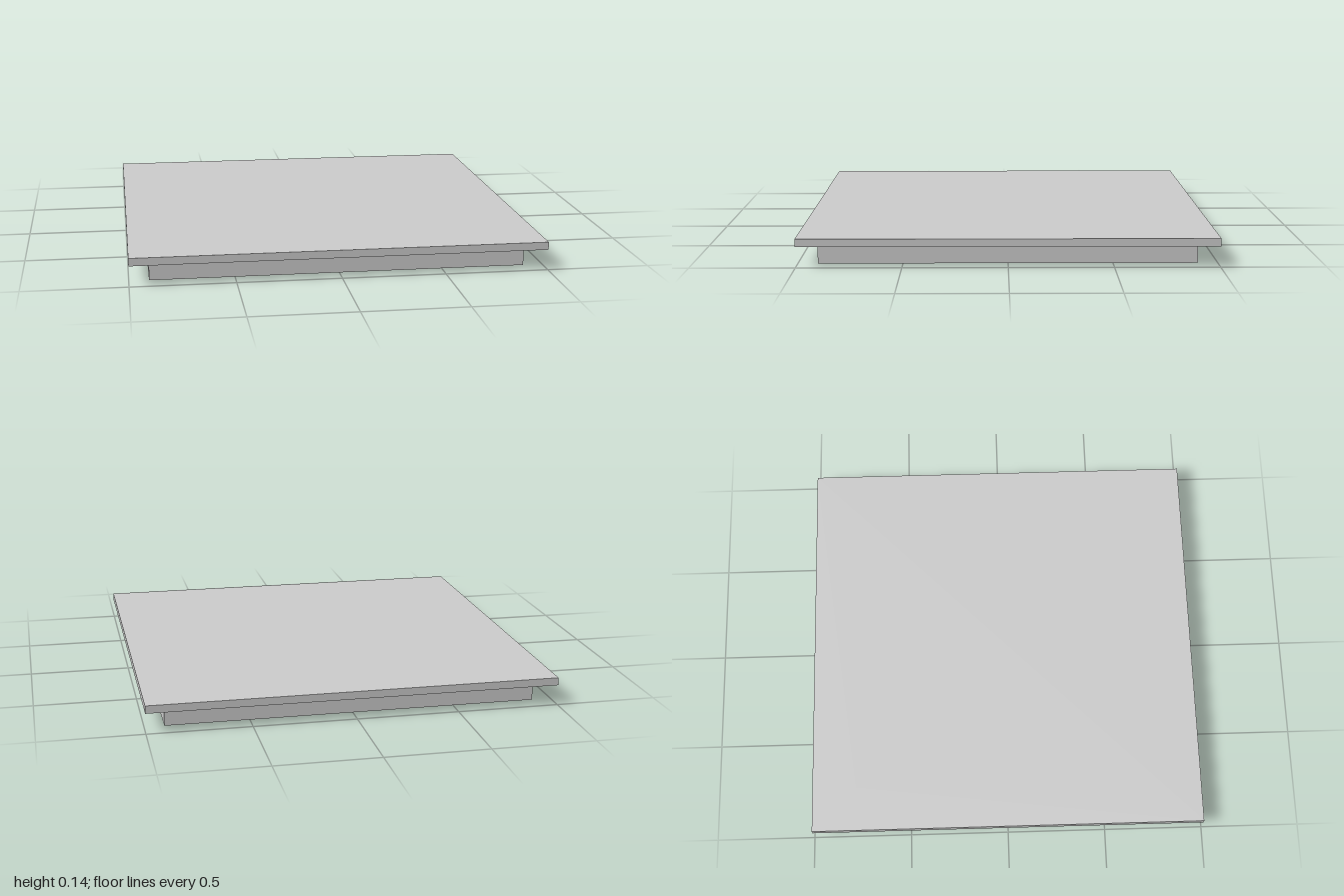
import * as THREE from 'three';

const BASE_H = 0.1;    // height of the recessed body
const PLATE_H = 0.038; // thickness of the frame and panel
const BASE_W = 1.81;
const PANEL_W = 1.55;

// Square outline centred on the origin
function square(path, width) {
  const h = width / 2;
  path.moveTo(-h, -h);
  path.lineTo(h, -h);
  path.lineTo(h, h);
  path.lineTo(-h, h);
  path.closePath();
  return path;
}

export function createModel() {
  const group = new THREE.Group();
  const material = new THREE.MeshStandardMaterial({ color: 0xcccccc });

  const add = (name, geometry, y) => {
    const mesh = new THREE.Mesh(geometry, material);
    mesh.name = name;
    mesh.position.y = y;
    group.add(mesh);
  };

  // Narrower body under the plate
  add('base', new THREE.BoxGeometry(BASE_W, BASE_H, BASE_W), BASE_H / 2);

  // Wide rim with a square opening
  const outline = square(new THREE.Shape(), 2);
  outline.holes.push(square(new THREE.Path(), PANEL_W));
  const frame = new THREE.ExtrudeGeometry(outline, { depth: PLATE_H, bevelEnabled: false });
  frame.rotateX(-Math.PI / 2);
  add('frame', frame, BASE_H);

  // Panel set flush into the opening
  add('panel', new THREE.BoxGeometry(PANEL_W, PLATE_H, PANEL_W), BASE_H + PLATE_H / 2);

  return group;
}
